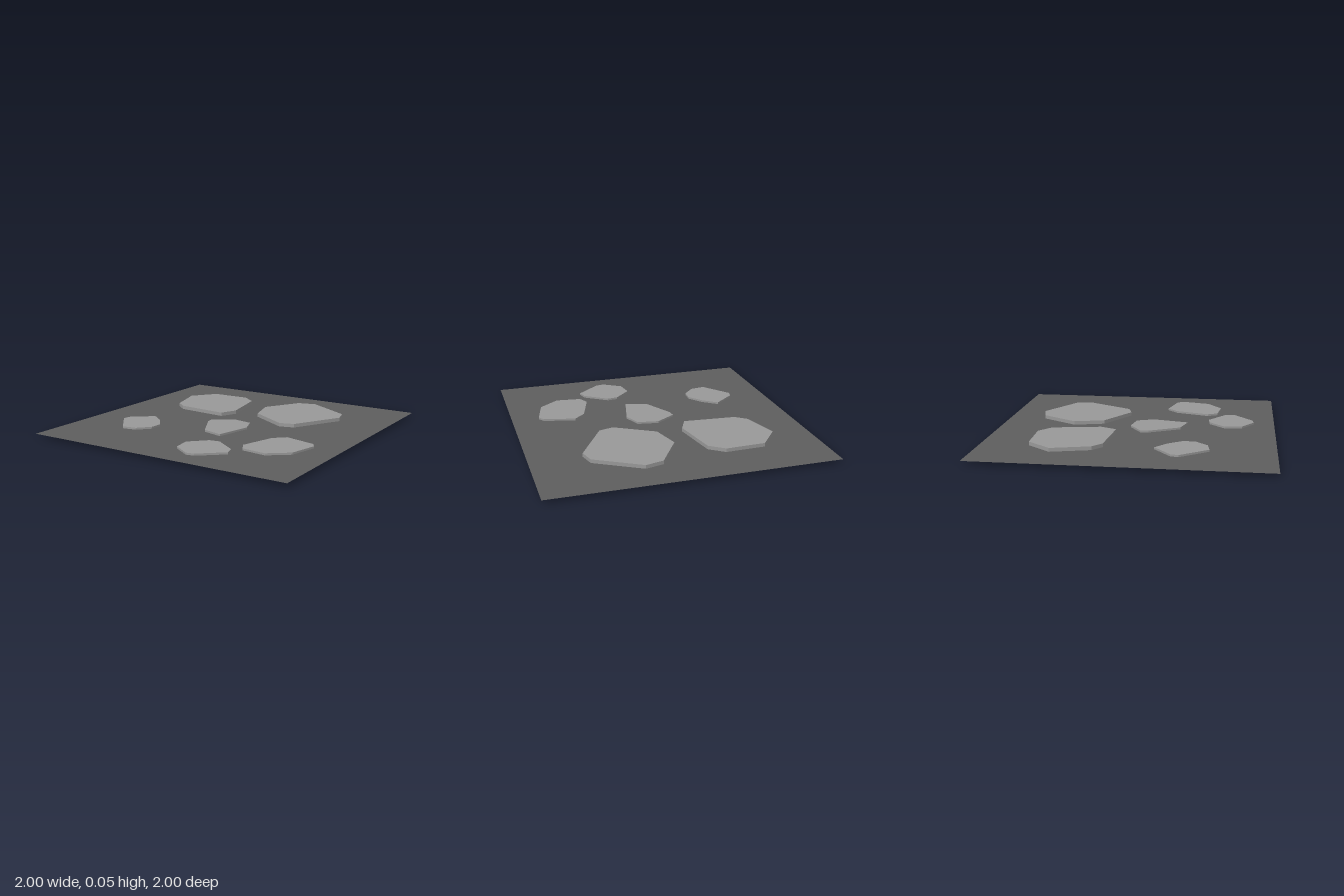
import * as THREE from 'three';

const MID = 0.026; // height of the ground sheet; every slab is centred on it
const LARGE = 0.052;
const SMALL = 0.028;

// Slab outlines as [x, z] corners
const SLABS = [
  { name: 'largeStoneLeft', thickness: LARGE, outline: [
    [-0.725, -0.49], [-0.59, -0.66], [-0.305, -0.67], [-0.2, -0.59],
    [-0.135, -0.245], [-0.19, -0.127], [-0.57, -0.157], [-0.65, -0.22]] },
  { name: 'largeStoneRight', thickness: LARGE, outline: [
    [-0.003, -0.47], [0.155, -0.73], [0.285, -0.763], [0.605, -0.575],
    [0.635, -0.465], [0.44, -0.12], [0.335, -0.09], [0.055, -0.255]] },
  { name: 'smallStoneCentre', thickness: SMALL, outline: [
    [-0.16, 0.045], [-0.02, -0.045], [0.13, -0.02], [0.18, 0.105],
    [0.12, 0.363], [-0.035, 0.32], [-0.155, 0.1]] },
  { name: 'smallStoneLeft', thickness: SMALL, outline: [
    [-0.735, 0.365], [-0.725, 0.31], [-0.575, 0.19], [-0.475, 0.265],
    [-0.395, 0.37], [-0.4, 0.455], [-0.48, 0.54], [-0.585, 0.557]] },
  { name: 'smallStoneRight', thickness: SMALL, outline: [
    [0.395, 0.5], [0.47, 0.255], [0.55, 0.18], [0.775, 0.235],
    [0.805, 0.28], [0.755, 0.485], [0.615, 0.593], [0.435, 0.573]] },
  { name: 'smallStoneFront', thickness: SMALL, outline: [
    [0.03, 0.64], [0.145, 0.525], [0.22, 0.515], [0.385, 0.63],
    [0.405, 0.7], [0.24, 0.84], [0.18, 0.85], [0.05, 0.765]] },
];

// Flat stone with vertical sides, extruded from its outline
function makeSlab({ name, thickness, outline }, material) {
  const shape = new THREE.Shape(outline.map(([x, z]) => new THREE.Vector2(x, -z)));
  const geometry = new THREE.ExtrudeGeometry(shape, { depth: thickness, bevelEnabled: false });
  geometry.rotateX(-Math.PI / 2);
  const slab = new THREE.Mesh(geometry, material);
  slab.name = name;
  slab.position.y = MID - thickness / 2;
  return slab;
}

export function createModel() {
  const model = new THREE.Group();
  model.name = 'steppingStones';

  // Thin ground sheet passing through the middle of the stones
  const ground = new THREE.Mesh(
    new THREE.PlaneGeometry(2, 2).rotateX(-Math.PI / 2),
    new THREE.MeshStandardMaterial({ color: 0x5e5e5e, side: THREE.DoubleSide }),
  );
  ground.name = 'groundSheet';
  ground.position.y = MID;
  model.add(ground);

  // Stones
  const stone = new THREE.MeshStandardMaterial({ color: 0x989898, flatShading: true });
  for (const slab of SLABS) model.add(makeSlab(slab, stone));

  return model;
}
